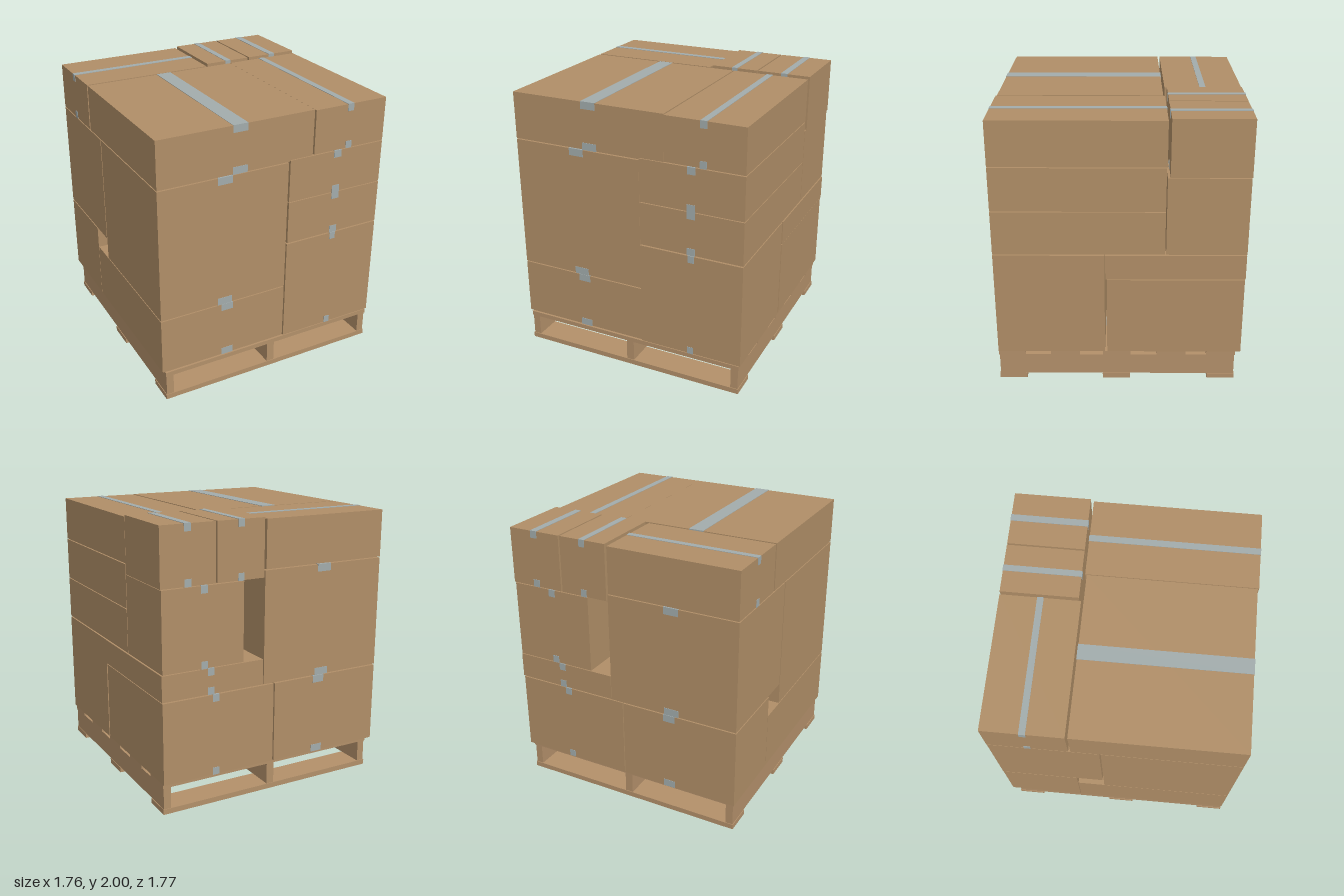
import * as THREE from 'three';

const cardboard = new THREE.MeshStandardMaterial({ color: 0xb08e67 });
const wood = new THREE.MeshStandardMaterial({ color: 0xb3906a });
const tapeMat = new THREE.MeshStandardMaterial({ color: 0xa2acac });

// Axis-aligned block from its limits on each axis
function block(name, [x0, x1], [y0, y1], [z0, z1], material) {
  const mesh = new THREE.Mesh(new THREE.BoxGeometry(x1 - x0, y1 - y0, z1 - z0), material);
  mesh.position.set((x0 + x1) / 2, (y0 + y1) / 2, (z0 + z1) / 2);
  mesh.name = name;
  return mesh;
}

// Closed carton with a tape strip over top and bottom, folded down at both ends.
// tape: [axis the strip runs along, position across, width]
function carton(name, x, y, z, tape) {
  const group = new THREE.Group();
  group.name = name;
  group.add(block('cartonBody', x, y, z, cardboard));
  const [axis, pos, width] = tape;
  const t = 0.003, flap = 0.05;
  const across = [pos - width / 2, pos + width / 2];
  const run = axis === 'z' ? z : x;
  const strip = (along, height) => group.add(axis === 'z'
    ? block('tape', across, height, along, tapeMat)
    : block('tape', along, height, across, tapeMat));
  const ends = [[run[0] - t, run[0]], [run[1], run[1] + t]];
  strip([run[0] - t, run[1] + t], [y[1], y[1] + t]);
  strip([run[0] - t, run[1] + t], [y[0] - t, y[0]]);
  for (const end of ends) {
    strip(end, [y[1] - flap, y[1]]);
    strip(end, [y[0], y[0] + flap]);
  }
  return group;
}

function createPallet() {
  const pallet = new THREE.Group();
  pallet.name = 'pallet';
  // Bottom boards
  for (const z of [[0.68, 0.88], [-0.075, 0.125], [-0.84, -0.64]])
    pallet.add(block('bottomBoard', [-0.86, 0.86], [0, 0.038], z, wood));
  // Stringers
  for (const x of [[-0.855, -0.8], [-0.03, 0.028], [0.8, 0.855]])
    pallet.add(block('stringer', x, [0.038, 0.197], [-0.835, 0.875], wood));
  // Deck boards
  for (const z of [[0.69, 0.88], [0.29, 0.5], [-0.08, 0.12], [-0.48, -0.27], [-0.84, -0.63]])
    pallet.add(block('deckBoard', [-0.86, 0.86], [0.197, 0.23], z, wood));
  return pallet;
}

export function createModel() {
  const model = new THREE.Group();
  model.name = 'loadedPallet';
  model.add(createPallet());

  const cartons = [
    // Front, -x side
    ['frontLowerCarton', [-0.88, 0.098], [0.235, 0.657], [-0.305, 0.87], ['z', -0.37, 0.09]],
    ['frontTallCarton', [-0.88, 0.098], [0.665, 1.637], [-0.1, 0.87], ['z', -0.39, 0.11]],
    ['frontTopCarton', [-0.88, 0.287], [1.645, 1.985], [-0.305, 0.87], ['z', -0.28, 0.11]],
    // Front, +x side
    ['sideLowerCarton', [0.102, 0.87], [0.235, 1.01], [0.106, 0.88], ['z', 0.49, 0.045]],
    ['sideMiddleCarton', [0.105, 0.87], [1.02, 1.336], [-0.313, 0.88], ['z', 0.49, 0.06]],
    ['sideUpperCarton', [0.105, 0.87], [1.342, 1.655], [-0.313, 0.88], ['z', 0.49, 0.06]],
    ['sideTopCarton', [0.293, 0.87], [1.662, 1.982], [-0.317, 0.88], ['z', 0.575, 0.048]],
    // Back, +x side
    ['backLowerCarton', [0.008, 0.87], [0.235, 0.82], [-0.875, 0.09], ['z', 0.47, 0.05]],
    ['backFlatCarton', [0.1, 0.875], [0.83, 1.013], [-0.878, 0.1], ['z', 0.51, 0.05]],
    ['backMiddleCarton', [0.26, 0.87], [1.02, 1.583], [-0.88, -0.32], ['z', 0.56, 0.05]],
    ['backTopInnerCarton', [0.105, 0.463], [1.59, 1.997], [-0.882, -0.338], ['z', 0.285, 0.045]],
    ['backTopOuterCarton', [0.475, 0.877], [1.59, 1.997], [-0.882, -0.338], ['z', 0.68, 0.05]],
    // Back, -x side
    ['backCornerLowerCarton', [-0.88, 0], [0.235, 0.82], [-0.878, -0.31], ['z', -0.37, 0.09]],
    ['backCornerTallCarton', [-0.88, 0.095], [0.83, 1.637], [-0.88, -0.11], ['z', -0.39, 0.11]],
    ['backCornerTopCarton', [-0.88, 0.088], [1.645, 1.985], [-0.882, -0.322], ['x', -0.6, 0.045]],
  ];
  for (const c of cartons) model.add(carton(...c));
  return model;
}
